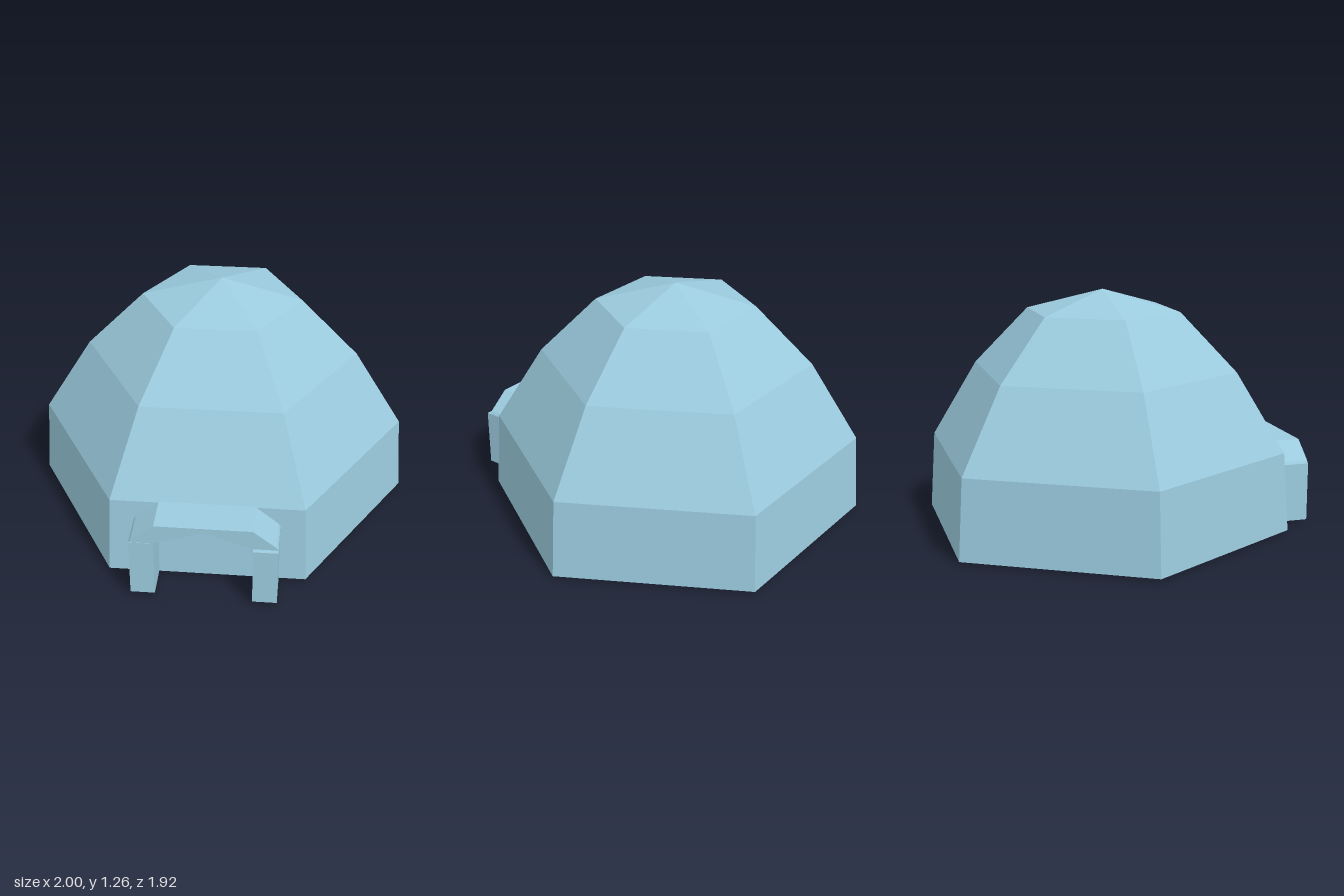
import * as THREE from 'three';

const ice = new THREE.MeshStandardMaterial({ name: 'paleBlueIce', color: 0x9bcbde });

// Un-share the vertices so every facet gets its own flat normal
function addFaceted(group, name, geometry) {
  const flat = geometry.index ? geometry.toNonIndexed() : geometry;
  flat.computeVertexNormals();
  const mesh = new THREE.Mesh(flat, ice);
  mesh.name = name;
  group.add(mesh);
  return mesh;
}

function extrudeOutline(points, zBack, zFront) {
  const shape = new THREE.Shape(points.map(([x, y]) => new THREE.Vector2(x, y)));
  const geometry = new THREE.ExtrudeGeometry(shape, { depth: zFront - zBack, bevelEnabled: false });
  return geometry.translate(0, 0, zBack);
}

export function createModel() {
  const model = new THREE.Group();
  model.name = 'iceHut';

  // Six-sided dome with a closed, slightly sunken underside
  const profile = [[0, 0], [1, 0.015], [0.97, 0.43], [0.715, 0.845], [0.415, 1.15], [0, 1.26]]
    .map(([r, y]) => new THREE.Vector2(r, y));
  const dome = addFaceted(model, 'dome', new THREE.LatheGeometry(profile, 6, Math.PI / 6));
  dome.position.z = -0.1;

  // Entrance porch: a bevelled roof with a shallow gabled soffit on two posts
  const porch = new THREE.Group();
  porch.name = 'porch';
  model.add(porch);
  addFaceted(porch, 'porchRoof', extrudeOutline([
    [-0.365, 0.33], [-0.24, 0.33], [0, 0.41], [0.24, 0.33],
    [0.365, 0.33], [0.355, 0.345], [0.24, 0.435], [-0.24, 0.435], [-0.355, 0.345],
  ], 0.72, 0.935));

  // The left post stands a little further forward than the right one
  for (const [name, side, front] of [['leftPost', 1, 0.958], ['rightPost', -1, 0.937]]) {
    const post = addFaceted(porch, name, new THREE.BoxGeometry(0.122, 0.312, front - 0.72));
    post.position.set(side * 0.304, 0.174, (front + 0.72) / 2);
  }

  return model;
}
